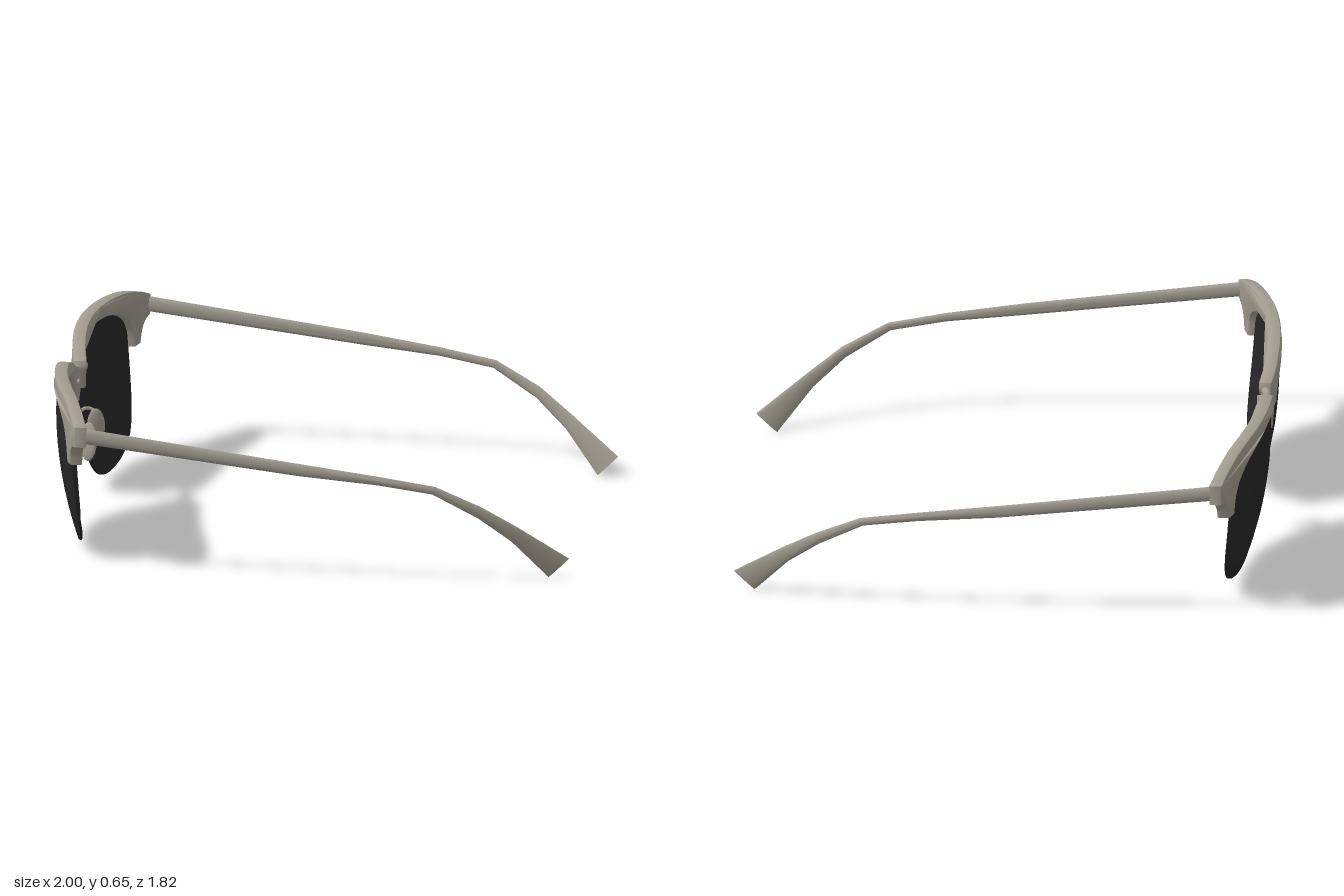
import * as THREE from 'three';
import { toCreasedNormals } from 'three/addons/utils/BufferGeometryUtils.js';

const frameMat = new THREE.MeshStandardMaterial({ color: 0xa39d90 });
const lensMat = new THREE.MeshStandardMaterial({ color: 0x262626 });

// Wrap of the front: x of the outer face for a given height and distance from the middle
function frontX(y, z) {
  const d = Math.min(z, 0.65) - 0.25;
  const wrap = (d < 0 ? 0.7 : 0.42) * d * d + Math.max(0, z - 0.65) * 0.336;
  return -1 + wrap + 0.36 * (y - 0.5) ** 2;
}

// Moves every vertex by a rule, then sets smooth normals with sharp edges kept
function reshape(geo, rule, crease = 0.6) {
  const p = geo.attributes.position, v = new THREE.Vector3();
  for (let i = 0; i < p.count; i++) {
    v.fromBufferAttribute(p, i);
    p.setXYZ(i, ...rule(v, i));
  }
  return toCreasedNormals(geo, crease);
}

// Mirrored copy across z = 0 with the corner order put right
function mirrored(geo) {
  const g = geo.index ? geo.toNonIndexed() : geo.clone();
  g.scale(1, 1, -1);
  for (const a of Object.values(g.attributes)) {
    const n = a.itemSize;
    for (let i = 0; i < a.count; i += 3) {
      for (let k = 0; k < n; k++) {
        const s = a.array[(i + 1) * n + k];
        a.array[(i + 1) * n + k] = a.array[(i + 2) * n + k];
        a.array[(i + 2) * n + k] = s;
      }
    }
  }
  return g;
}

const vec2 = (list) => list.map(([a, b]) => new THREE.Vector2(a, b));

// Brow bar: outline in (z, y), extruded and bent to the wrap
function browGeometry() {
  const depth = 0.05, bevel = 0.007;
  const shape = new THREE.Shape();
  shape.moveTo(0.91, 0.578);
  shape.splineThru(vec2([[0.814, 0.613], [0.69, 0.64], [0.52, 0.65], [0.32, 0.647],
    [0.2, 0.625], [0.127, 0.59], [0.054, 0.556]]));
  shape.splineThru(vec2([[0.05, 0.527], [0.069, 0.483], [0.088, 0.44]]));
  shape.lineTo(0.118, 0.45);
  shape.splineThru(vec2([[0.13, 0.49], [0.187, 0.55], [0.284, 0.588], [0.42, 0.597], [0.593, 0.58],
    [0.716, 0.535], [0.77, 0.48], [0.784, 0.405]]));
  shape.lineTo(0.826, 0.408);
  shape.splineThru(vec2([[0.842, 0.45], [0.868, 0.483], [0.91, 0.5]]));
  shape.closePath();
  const geo = new THREE.ExtrudeGeometry(shape, {
    depth: depth - 2 * bevel, curveSegments: 4, bevelThickness: bevel,
    bevelSize: bevel, bevelOffset: -bevel, bevelSegments: 2,
  });
  return reshape(geo, (v) => [frontX(v.y, v.x) + depth - bevel - v.z, v.y, v.x]);
}

// Lens: thin lathe disc whose rim follows the outline
function lensGeometry() {
  const rim = new THREE.CatmullRomCurve3([[0.775, 0.42], [0.77, 0.32], [0.74, 0.2], [0.676, 0.1],
    [0.588, 0.047], [0.47, 0.025], [0.348, 0.032], [0.25, 0.066], [0.176, 0.14], [0.127, 0.233],
    [0.103, 0.335], [0.103, 0.405], [0.137, 0.49], [0.2, 0.56], [0.3, 0.595], [0.42, 0.602],
    [0.593, 0.586], [0.716, 0.537], [0.765, 0.483]].map(([z, y]) => new THREE.Vector3(0, y, z)), true);
  const t = 0.007, rings = [0, 0.2, 0.4, 0.6, 0.8, 0.985];
  const profile = vec2([...rings.map((r) => [r, -t]), [1, -t / 2], [1, t / 2],
    ...rings.map((r) => [r, t]).reverse()]);
  const geo = new THREE.LatheGeometry(profile, 64);
  const uv = geo.attributes.uv;
  return reshape(geo, (v, i) => {
    const q = rim.getPoint(uv.getX(i) % 1), r = Math.hypot(v.x, v.z);
    const y = 0.33 + r * (q.y - 0.33), z = 0.44 + r * (q.z - 0.44);
    return [frontX(y, z) + 0.02 + v.y, y, z];
  });
}

// Temple: oval sections [top x, top y, bottom x, bottom y, z, thickness]
function templeGeometry() {
  const s = [[-0.81, 0.572, -0.81, 0.513, 0.899, 0.021], [0, 0.464, 0, 0.416, 0.891, 0.019],
    [0.3, 0.421, 0.3, 0.387, 0.877, 0.018], [0.515, 0.384, 0.504, 0.354, 0.858, 0.018],
    [0.685, 0.299, 0.672, 0.255, 0.818, 0.02], [0.81, 0.213, 0.79, 0.155, 0.765, 0.02],
    [0.998, 0.075, 0.92, 0, 0.69, 0.014]];
  const geo = new THREE.CylinderGeometry(1, 1, 1, 16, s.length - 1);
  return reshape(geo, (v) => {
    const [tx, ty, bx, by, z, w] = s[Math.round((0.5 - v.y) * (s.length - 1))];
    const k = (v.x + 1) / 2;
    return [bx + (tx - bx) * k, by + (ty - by) * k, z + v.z * w / 2];
  }, 0.7);
}

// Nose pad: flattened oval, leaning outward at the bottom
function padGeometry() {
  const geo = new THREE.SphereGeometry(1, 20, 14);
  geo.scale(0.034, 0.073, 0.012);
  geo.rotateY(-0.25);
  geo.rotateX(-0.2);
  geo.translate(-0.895, 0.29, 0.107);
  return geo;
}

function tube(points, radius) {
  const curve = new THREE.CatmullRomCurve3(points.map((p) => new THREE.Vector3(...p)));
  return new THREE.TubeGeometry(curve, 20, radius, 10);
}

function screwGeometry() {
  const geo = new THREE.CylinderGeometry(0.011, 0.012, 0.012, 14);
  geo.rotateZ(-Math.PI / 2);
  geo.translate(frontX(0.522, 0.108) + 0.052, 0.522, 0.108);
  return geo;
}

export function createModel() {
  const model = new THREE.Group();
  model.name = 'sunglasses';
  const add = (name, geo, mat) => {
    const mesh = new THREE.Mesh(geo, mat);
    mesh.name = name;
    model.add(mesh);
  };

  // Paired parts
  const parts = {
    Brow: [browGeometry(), frameMat],
    Lens: [lensGeometry(), lensMat],
    Temple: [templeGeometry(), frameMat],
    NosePad: [padGeometry(), frameMat],
    NosePadArm: [tube([[-0.955, 0.345, 0.112], [-0.935, 0.352, 0.125], [-0.91, 0.345, 0.13],
      [-0.895, 0.315, 0.11]], 0.007), frameMat],
    BrowScrew: [screwGeometry(), frameMat],
  };
  for (const [name, [geo, mat]] of Object.entries(parts)) {
    add('left' + name, geo, mat);
    add('right' + name, mirrored(geo), mat);
  }

  // Bridge joining the two brows
  add('bridge', tube([[-0.945, 0.505, -0.07], [-0.948, 0.523, -0.05], [-0.957, 0.532, -0.02],
    [-0.957, 0.532, 0.02], [-0.948, 0.523, 0.05], [-0.945, 0.505, 0.07]], 0.016), frameMat);
  return model;
}
